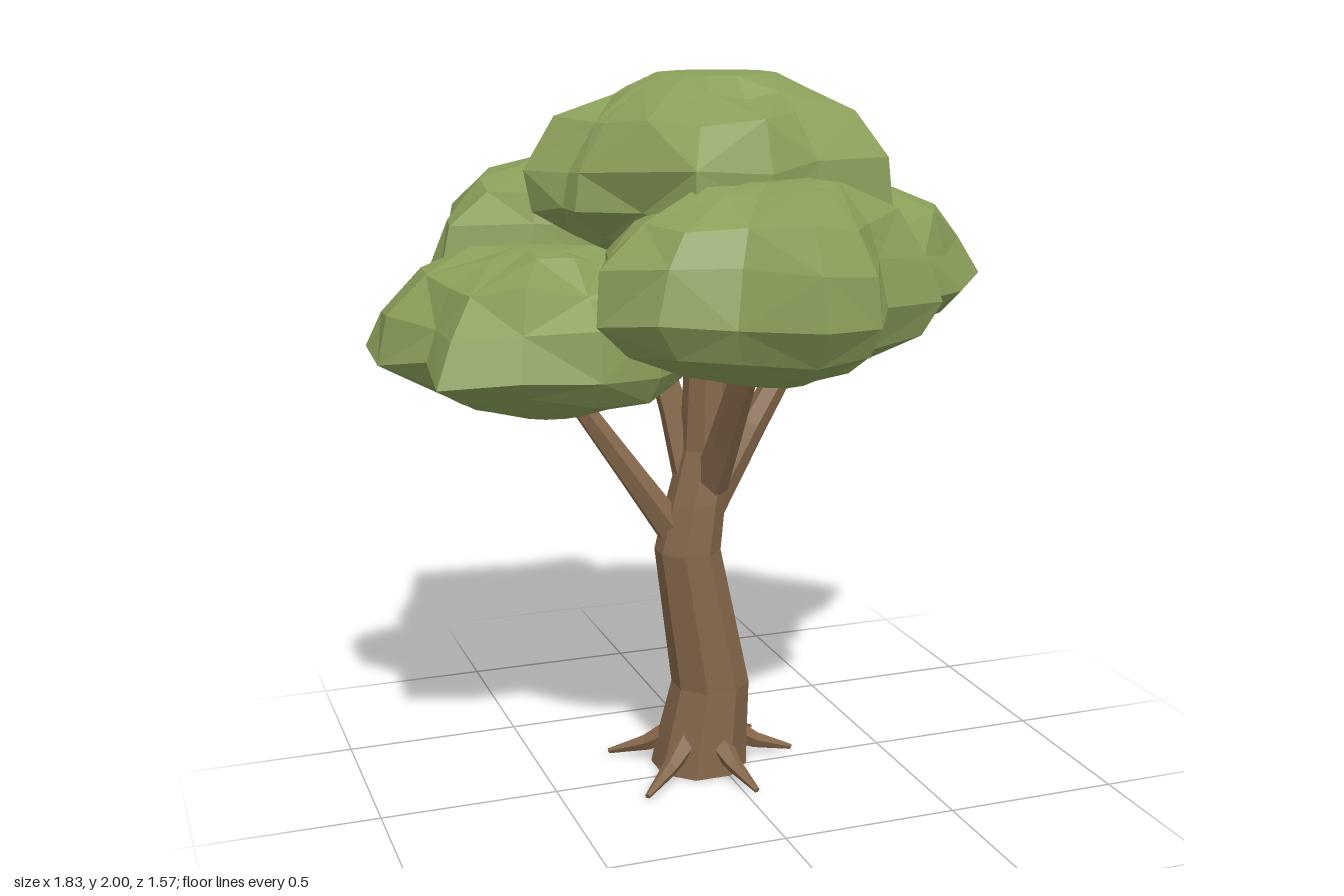
import * as THREE from 'three';

const bark = new THREE.MeshStandardMaterial({ color: 0x84664a, flatShading: true });
const leaf = new THREE.MeshStandardMaterial({ color: 0x8a9f5a, flatShading: true });

// Small seeded random in -1..1
function seeded(seed) {
  let s = seed;
  return () => {
    s = (s * 16807) % 2147483647;
    return (s / 2147483647) * 2 - 1;
  };
}

// Closed solid through rings of points, capped at both ends
function loft(rings) {
  const n = rings[0].length;
  const points = rings.flat();
  const index = [];
  const middle = (ring) => ring.reduce((m, p) => m.add(p), new THREE.Vector3()).divideScalar(n);
  for (let r = 0; r < rings.length - 1; r++) {
    for (let i = 0; i < n; i++) {
      const j = (i + 1) % n;
      const a = r * n + i, b = r * n + j, c = a + n, d = b + n;
      if ((i + r) % 2) index.push(a, c, b, c, d, b);
      else index.push(a, c, d, a, d, b);
    }
  }
  const last = (rings.length - 1) * n;
  const low = points.push(middle(rings[0])) - 1;
  const high = points.push(middle(rings[rings.length - 1])) - 1;
  for (let i = 0; i < n; i++) {
    const j = (i + 1) % n;
    index.push(low, i, j, high, last + j, last + i);
  }
  const indexed = new THREE.BufferGeometry().setFromPoints(points);
  indexed.setIndex(index);
  const geometry = indexed.toNonIndexed();
  geometry.computeVertexNormals();
  return geometry;
}

// Tapered limb along [x, y, z, radius] stations
function limb(name, path, sides, axis) {
  const at = path.map(([x, y, z]) => new THREE.Vector3(x, y, z));
  const dir = axis || at[at.length - 1].clone().sub(at[0]).normalize();
  const turn = new THREE.Quaternion().setFromUnitVectors(new THREE.Vector3(0, 1, 0), dir);
  const rings = path.map((p, k) => Array.from({ length: sides }, (_, i) => {
    const t = ((i + 0.5) / sides) * Math.PI * 2;
    return new THREE.Vector3(Math.cos(t) * p[3], 0, Math.sin(t) * p[3]).applyQuaternion(turn).add(at[k]);
  }));
  const mesh = new THREE.Mesh(loft(rings), bark);
  mesh.name = name;
  return mesh;
}

// Height fraction, width fraction, share of the lobed outline kept
const puff = [
  [0, 0.25, 0.3], [0.09, 0.58, 0.6], [0.2, 0.83, 0.9], [0.36, 1, 1], [0.62, 0.93, 0.95],
  [0.83, 0.74, 0.8], [0.96, 0.45, 0.5], [1, 0.22, 0.3],
];
const cone = [
  [0, 0.22, 0.3], [0.07, 0.48, 0.6], [0.18, 0.76, 0.9], [0.36, 1, 1], [0.58, 0.88, 0.95],
  [0.77, 0.71, 0.85], [0.92, 0.42, 0.5], [1, 0.18, 0.3],
];
const dome = [
  [0, 0.5, 0.4], [0.14, 0.82, 0.8], [0.3, 0.97, 1], [0.54, 1, 1],
  [0.78, 0.81, 0.8], [0.92, 0.55, 0.5], [1, 0.36, 0.3],
];

// Lumpy leaf mass: an outline in x, z scaled up a profile, slightly roughened
function foliage(name, [cx, cz], y0, y1, outline, profile, seed) {
  const rand = seeded(seed);
  const radii = outline.map(([x, z]) => Math.hypot(x - cx, z - cz));
  const mean = radii.reduce((a, b) => a + b) / radii.length;
  const rings = profile.map(([t, width, lobes], k) => outline.map(([x, z], i) => {
    const inner = k > 0 && k < profile.length - 1;
    const rough = inner && width < 1 ? 1 + rand() * 0.07 : 1;
    const s = width * rough * (lobes + (1 - lobes) * mean / radii[i]);
    const y = y0 + t * (y1 - y0) + (inner ? rand() * 0.02 : 0);
    return new THREE.Vector3(cx + (x - cx) * s, y, cz + (z - cz) * s);
  }));
  const mesh = new THREE.Mesh(loft(rings), leaf);
  mesh.name = name;
  return mesh;
}

export function createModel() {
  const tree = new THREE.Group();
  tree.name = 'tree';

  // Trunk and limbs
  tree.add(
    limb('trunk', [
      [-0.05, 0, -0.06, 0.14], [-0.04, 0.08, -0.06, 0.132], [-0.015, 0.25, -0.057, 0.113],
      [-0.082, 0.66, -0.06, 0.095], [-0.055, 0.8, -0.065, 0.085], [-0.02, 0.95, -0.08, 0.073], [0, 1.5, -0.1, 0.055],
    ], 8, new THREE.Vector3(0, 1, 0)),
    limb('frontBranch', [[-0.02, 0.85, -0.04, 0.052], [-0.01, 1.0, 0.05, 0.045], [0, 1.38, 0.3, 0.03]], 6),
    limb('leftBranch', [[-0.04, 0.72, -0.08, 0.05], [0.13, 1.0, -0.1, 0.042], [0.37, 1.36, -0.14, 0.028]], 6),
    limb('rightBranch', [[-0.09, 0.67, -0.06, 0.052], [-0.24, 0.89, -0.08, 0.04], [-0.45, 1.2, -0.12, 0.026]], 6),
    limb('backBranch', [[-0.06, 0.82, -0.07, 0.05], [-0.09, 1.05, -0.15, 0.042], [-0.16, 1.4, -0.28, 0.028]], 6),
  );

  // Roots flaring out to the ground
  const roots = new THREE.Group();
  roots.name = 'roots';
  const tips = [[0.24, -0.04], [0.03, 0.22], [-0.28, 0.15], [-0.29, -0.2], [-0.02, -0.32], [0.18, -0.23]];
  for (const [x, z] of tips) {
    const along = (t, y, r) => [-0.04 + (x + 0.04) * t, y, -0.06 + (z + 0.06) * t, r];
    roots.add(limb('root', [along(0.25, 0.1, 0.04), along(0.58, 0.048, 0.024), along(0.98, 0.012, 0.008)], 5));
  }
  tree.add(roots);

  // Leaf masses
  tree.add(
    foliage('crownFoliage', [0, -0.05], 1.5, 2, [
      [0.42, -0.03], [0.44, 0.1], [0.38, 0.25], [0.15, 0.31], [0, 0.38], [-0.21, 0.39], [-0.32, 0.24], [-0.43, 0.1],
      [-0.44, 0.03], [-0.53, -0.09], [-0.36, -0.3], [-0.13, -0.52], [0.05, -0.44], [0.27, -0.42], [0.5, -0.32], [0.44, -0.18],
    ], dome, 11),
    foliage('frontFoliage', [0.02, 0.35], 1.23, 1.75, [
      [0.5, 0.25], [0.46, 0.43], [0.26, 0.52], [0.17, 0.68], [-0.02, 0.78], [-0.19, 0.63], [-0.37, 0.56],
      [-0.48, 0.41], [-0.41, 0.26], [-0.36, 0.08], [-0.2, 0], [0, -0.06], [0.2, 0], [0.42, 0.08],
    ], puff, 23),
    foliage('leftFoliage', [0.43, -0.2], 1.19, 1.69, [
      [0.91, -0.22], [0.77, -0.06], [0.62, 0.05], [0.55, 0.2], [0.42, 0.22], [0.25, 0.13], [0.08, 0.02],
      [0.02, -0.2], [0.1, -0.42], [0.22, -0.54], [0.42, -0.585], [0.61, -0.51], [0.72, -0.37],
    ], cone, 37),
    foliage('backFoliage', [-0.25, -0.42], 1.28, 1.77, [
      [0.22, -0.46], [0.15, -0.25], [0, -0.1], [-0.25, -0.05], [-0.5, -0.17], [-0.73, -0.26],
      [-0.73, -0.41], [-0.65, -0.6], [-0.58, -0.79], [-0.33, -0.77], [-0.14, -0.73], [0.1, -0.76],
    ], puff, 51),
    foliage('rightFoliage', [-0.45, -0.13], 1.08, 1.54, [
      [0, -0.1], [-0.1, 0.1], [-0.25, 0.22], [-0.42, 0.26], [-0.64, 0.27], [-0.84, 0.19], [-0.82, -0.03],
      [-0.92, -0.2], [-0.92, -0.38], [-0.73, -0.42], [-0.55, -0.52], [-0.3, -0.55], [-0.1, -0.38],
    ], puff, 67),
  );
  return tree;
}
